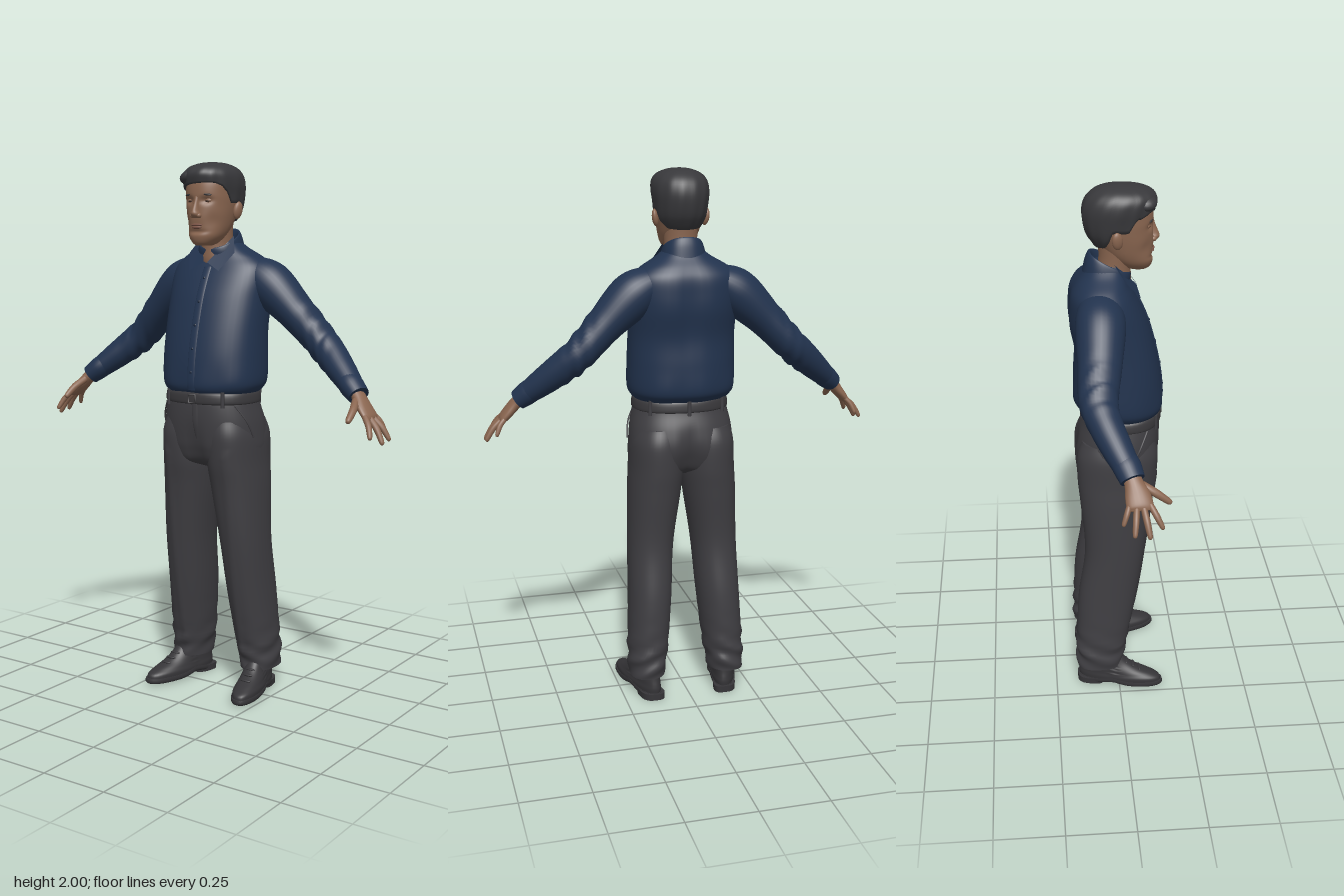
import * as THREE from 'three';

const mat = (name, color, side = THREE.FrontSide) => {
  const m = new THREE.MeshStandardMaterial({ color, side });
  m.name = name;
  return m;
};

// Catmull-Rom interpolation of rows of numbers
function smooth(rows, n) {
  const out = [], last = rows.length - 1;
  for (let i = 0; i < last; i++) {
    const [a, b, c, d] = [rows[Math.max(i - 1, 0)], rows[i], rows[i + 1], rows[Math.min(i + 2, last)]];
    for (let k = 0; k < n; k++) {
      const t = k / n;
      out.push(b.map((_, j) => 0.5 * (2 * b[j] + (c[j] - a[j]) * t + (2 * a[j] - 5 * b[j] + 4 * c[j] - d[j]) * t * t
        + (3 * b[j] - a[j] - 3 * c[j] + d[j]) * t * t * t)));
    }
  }
  out.push(rows[last]);
  return out;
}

// Linear lookup in rows sorted by their first column
function look(rows, key) {
  let i = 0;
  while (i < rows.length - 2 && rows[i + 1][0] < key) i++;
  const t = THREE.MathUtils.clamp((key - rows[i][0]) / (rows[i + 1][0] - rows[i][0]), 0, 1);
  return rows[i].map((v, j) => v + (rows[i + 1][j] - v) * t);
}

const spow = (v, e) => Math.sign(v) * Math.pow(Math.abs(v), e);

// Closed rings of points to a capped skin; side -1 mirrors it
function skinRings(name, rings, material, side = 1, mod = null) {
  const pos = [], idx = [], n = rings[0].length;
  const put = (p) => { pos.push(p.x * side, p.y, p.z); return pos.length / 3 - 1; };
  const tri = (a, b, c) => (side > 0 ? idx.push(a, b, c) : idx.push(a, c, b));
  if (mod) rings.forEach((r) => r.forEach(mod));
  rings.forEach((r) => r.forEach(put));
  for (let i = 0; i < rings.length - 1; i++) for (let j = 0; j < n; j++) {
    const a = i * n + j, b = i * n + (j + 1) % n;
    tri(a, a + n, b);
    tri(b, a + n, b + n);
  }
  for (const [r, top] of [[rings[0], false], [rings[rings.length - 1], true]]) {
    const c = put(r.reduce((s, p) => s.add(p), new THREE.Vector3()).divideScalar(n));
    const e = r.map(put);
    for (let j = 0; j < n; j++) top ? tri(c, e[(j + 1) % n], e[j]) : tri(c, e[j], e[(j + 1) % n]);
  }
  const g = new THREE.BufferGeometry();
  g.setAttribute('position', new THREE.Float32BufferAttribute(pos, 3));
  g.setIndex(idx);
  g.computeVertexNormals();
  const m = new THREE.Mesh(g, material);
  m.name = name;
  return m;
}

// Level rings: [y, centreX, halfWidth, zFront, zBack, tilt]
function loft(name, rows, material, { side = 1, p = 2.3, mod = null, seg = 48, sub = 6 } = {}) {
  const rings = smooth(rows, sub).map(([y, cx, rx, zf, zb, tilt = 0]) => Array.from({ length: seg }, (_, j) => {
    const a = j / seg * Math.PI * 2, s = spow(Math.sin(a), 2 / p);
    return new THREE.Vector3(cx + rx * spow(Math.cos(a), 2 / p), y + tilt * s, (zf + zb) / 2 + (zf - zb) / 2 * s);
  }));
  return skinRings(name, rings, material, side, mod);
}

// Swept limb: [x, y, z, radius across, radius toward z]
function limb(name, path, material, { side = 1, seg = 20, sub = 6, mod = null } = {}) {
  const rows = smooth(path, sub);
  const at = (i) => new THREE.Vector3(...rows[THREE.MathUtils.clamp(i, 0, rows.length - 1)].slice(0, 3));
  const rings = rows.map((r, i) => {
    const t = at(i + 1).sub(at(i - 1)).normalize();
    const v = new THREE.Vector3(0, 0, 1).addScaledVector(t, -t.z).normalize();
    const u = t.clone().cross(v);
    return Array.from({ length: seg }, (_, j) => {
      const a = j / seg * Math.PI * 2;
      return at(i).addScaledVector(u, r[3] * Math.cos(a)).addScaledVector(v, r[4] * Math.sin(a));
    });
  });
  return skinRings(name, rings, material, side, mod);
}

export function createModel() {
  const root = new THREE.Group();
  root.name = 'standingMan';
  const skin = mat('skin', 0x8a6650), lip = mat('lips', 0x7a5346), hair = mat('hair', 0x38383b, THREE.DoubleSide);
  const shirt = mat('shirt', 0x22334e, THREE.DoubleSide), button = mat('buttons', 0x1a273c);
  const cloth = mat('trousers', 0x3f3e42), belt = mat('belt', 0x39383b), shoe = mat('shoes', 0x363538);
  const eye = mat('eyes', 0x3a2a24);
  const add = (...m) => root.add(...m);
  const blob = (name, m, x, y, z, sx, sy, sz) => {
    const b = new THREE.Mesh(new THREE.SphereGeometry(1, 20, 14), m);
    b.name = name;
    b.position.set(x, y, z);
    b.scale.set(sx, sy, sz);
    add(b);
    return b;
  };

  // Shirt body, fuller over the shoulder blades
  const body = [[1.155, 0, 0.165, 0.15, -0.11], [1.175, 0, 0.187, 0.168, -0.14], [1.21, 0, 0.2, 0.173, -0.157],
    [1.3, 0, 0.2, 0.165, -0.157], [1.4, 0, 0.198, 0.145, -0.155], [1.5, 0, 0.2, 0.117, -0.173],
    [1.57, 0, 0.203, 0.088, -0.173], [1.62, 0, 0.195, 0.062, -0.166], [1.655, 0, 0.16, 0.044, -0.148],
    [1.69, 0, 0.1, 0.035, -0.12], [1.72, 0, 0.062, 0.03, -0.098]];
  add(loft('shirtBody', body, shirt, {
    mod: (v) => {
      if (v.z < -0.08) v.z += 0.014 * Math.exp(-((v.x / 0.04) ** 2)) * Math.exp(-(((v.y - 1.5) / 0.14) ** 2));
      v.z += 0.003 * Math.sin(v.x * 45) * Math.exp(-(((v.y - 1.2) / 0.06) ** 2));
    },
  }));

  // Button placket and buttons
  const front = body.slice(1, 8).map(([y, , , zf]) => [0.004, y, zf, 0.016, 0.004]);
  add(limb('placket', front, shirt));
  for (let y = 1.24; y < 1.62; y += 0.085) blob('button', button, 0.004, y, look(body, y)[3] + 0.003, 0.006, 0.006, 0.004);

  // Collar stand, higher at the back
  add(loft('collarStand', [[1.67, 0, 0.085, 0.05, -0.118, -0.02], [1.705, 0, 0.078, 0.054, -0.108, -0.03],
    [1.725, 0, 0.07, 0.05, -0.095, -0.036], [1.715, 0, 0.062, 0.03, -0.086, -0.036], [1.68, 0, 0.06, 0.03, -0.08, -0.03]], shirt));

  for (const s of [1, -1]) {
    // Collar flap
    const flap = new THREE.BufferGeometry();
    flap.setAttribute('position', new THREE.Float32BufferAttribute([0.07, 1.733, -0.01, 0.008, 1.637, 0.074,
      0.065, 1.607, 0.084, 0.1, 1.672, 0.03].map((v, i) => (i % 3 ? v : v * s)), 3));
    flap.setIndex(s > 0 ? [0, 1, 2, 0, 2, 3] : [0, 2, 1, 0, 3, 2]);
    flap.computeVertexNormals();
    const flapMesh = new THREE.Mesh(flap, shirt);
    flapMesh.name = 'collarFlap';
    add(flapMesh);

    // Sleeve with folds at the elbow, and cuff
    add(limb('sleeve', [[0.1, 1.615, -0.062, 0.05, 0.07], [0.19, 1.56, -0.066, 0.084, 0.088], [0.3, 1.458, -0.076, 0.068, 0.077],
      [0.39, 1.365, -0.087, 0.06, 0.068], [0.45, 1.312, -0.07, 0.058, 0.06], [0.52, 1.253, -0.035, 0.05, 0.053],
      [0.575, 1.207, -0.005, 0.041, 0.045]], shirt, {
      side: s, seg: 32, sub: 10,
      mod: (v) => { v.y += 0.006 * Math.sin(v.x * 130 + v.z * 30) * Math.exp(-(((v.x - 0.4) / 0.05) ** 2)); },
    }));
    add(limb('cuff', [[0.555, 1.224, -0.015, 0.042, 0.047], [0.575, 1.207, -0.004, 0.043, 0.048],
      [0.608, 1.18, 0.01, 0.037, 0.043]], shirt, { side: s, seg: 28 }));

    // Hand: palm and spread fingers
    add(limb('palm', [[0.59, 1.195, 0.004, 0.024, 0.03], [0.615, 1.17, 0.014, 0.022, 0.033], [0.64, 1.14, 0.024, 0.02, 0.043],
      [0.664, 1.112, 0.03, 0.016, 0.045], [0.674, 1.1, 0.031, 0.008, 0.036]], skin, { side: s }));
    const fingers = [['thumb', 0.612, 1.165, 0.04, 0.632, 1.1, 0.138, 0.0135], ['indexFinger', 0.658, 1.118, 0.062, 0.703, 1.043, 0.105, 0.0105],
      ['middleFinger', 0.665, 1.112, 0.041, 0.729, 1.022, 0.06, 0.011], ['ringFinger', 0.665, 1.112, 0.019, 0.73, 1.03, 0.008, 0.0105],
      ['littleFinger', 0.655, 1.12, -0.002, 0.695, 1.055, -0.028, 0.0095]];
    for (const [name, x, y, z, X, Y, Z, r] of fingers) {
      const rows = [[0, 1], [0.45, 1.05], [0.85, 0.85], [0.97, 0.6], [1, 0.15]].map(([t, k]) =>
        [x + (X - x) * t + 0.006 * Math.sin(t * Math.PI), y + (Y - y) * t + 0.004 * Math.sin(t * Math.PI), z + (Z - z) * t, r * k, r * k]);
      add(limb(name, rows, skin, { side: s, seg: 12, sub: 4 }));
    }

    // Trouser leg, rumpled near the hem
    add(loft('trouserLeg', [[0.09, 0.157, 0.068, 0.018, -0.166], [0.13, 0.155, 0.071, 0.02, -0.167], [0.2, 0.149, 0.076, 0.032, -0.165],
      [0.4, 0.135, 0.081, 0.07, -0.155], [0.6, 0.125, 0.086, 0.1, -0.127], [0.8, 0.108, 0.098, 0.125, -0.141],
      [0.9, 0.1, 0.1, 0.142, -0.15], [1.0, 0.1, 0.096, 0.15, -0.15], [1.06, 0.095, 0.085, 0.14, -0.13]], cloth, {
      side: s, p: 2.2,
      mod: (v) => {
        const k = Math.exp(-(((v.y - 0.17) / 0.1) ** 2));
        v.z += 0.005 * k * Math.sin(v.y * 90 + v.x * 40);
        v.x += 0.004 * k * Math.sin(v.y * 75 + v.z * 30);
        if (v.z > 0.02 && v.y < 0.95) v.z += 0.005 * Math.exp(-(((v.x - 0.13) / 0.012) ** 2));
      },
    }));
    add(limb('pocketSeam', [[0.196, 1.0, 0.045, 0.003, 0.004], [0.186, 1.06, 0.075, 0.003, 0.004],
      [0.152, 1.12, 0.105, 0.003, 0.004]], cloth, { side: s, seg: 8 }));

    // Shoe: upper, sole and heel, turned slightly outward
    const splay = (v) => { v.x += 0.2 * v.z - (v.z < -0.02 ? 0.08 * (v.x - 0.17) : 0); };
    add(loft('shoeUpper', [[0.022, 0.17, 0.053, 0.164, -0.156], [0.04, 0.17, 0.054, 0.158, -0.158], [0.056, 0.17, 0.05, 0.125, -0.156],
      [0.075, 0.17, 0.047, 0.075, -0.152], [0.1, 0.168, 0.043, 0.035, -0.148], [0.14, 0.166, 0.04, 0.0, -0.14]], shoe, { side: s, mod: splay }));
    add(loft('shoeSole', [[0.006, 0.17, 0.052, 0.166, -0.155], [0.014, 0.17, 0.057, 0.172, -0.16], [0.026, 0.17, 0.056, 0.17, -0.16]],
      shoe, { side: s, sub: 2, mod: (v) => { splay(v); v.y += 0.012 * Math.exp(-(((v.z + 0.03) / 0.05) ** 2)); } }));
    add(loft('shoeHeel', [[0, 0.17, 0.047, -0.06, -0.163], [0.025, 0.17, 0.048, -0.055, -0.163]], shoe, { side: s, p: 3, sub: 2, mod: splay }));
    for (const z of [0.03, 0.055, 0.08]) blob('shoeLace', shoe, s * (0.17 + 0.2 * z), 0.1 - (z - 0.03) * 0.55, z, 0.022, 0.005, 0.007);
  }

  // Trouser seat and fly
  const seat = [[0.87, 0, 0.12, 0.06, -0.08], [0.9, 0, 0.185, 0.125, -0.125], [0.95, 0, 0.198, 0.149, -0.148],
    [1.0, 0, 0.197, 0.158, -0.155], [1.06, 0, 0.191, 0.162, -0.143], [1.12, 0, 0.178, 0.16, -0.122], [1.165, 0, 0.168, 0.152, -0.112]];
  add(loft('trouserSeat', seat, cloth, {
    mod: (v) => {
      const k = Math.exp(-((v.x / 0.028) ** 2)) * THREE.MathUtils.smoothstep(1.1 - v.y, 0, 0.18);
      v.z += v.z < -0.05 ? 0.035 * k : v.z > 0.05 ? -0.02 * k : 0;
    },
  }));
  add(limb('flySeam', [[0.012, 0.97, 0.136, 0.005, 0.004], [0.014, 1.05, 0.158, 0.012, 0.004], [0.012, 1.13, 0.16, 0.014, 0.004]], cloth, { seg: 12 }));

  // Belt, buckle and loops
  add(loft('belt', [[1.122, 0, 0.176, 0.161, -0.122], [1.128, 0, 0.182, 0.167, -0.127], [1.155, 0, 0.179, 0.166, -0.124],
    [1.165, 0, 0.172, 0.16, -0.118]], belt, { sub: 3 }));
  const buckle = new THREE.Mesh(new THREE.TorusGeometry(0.021, 0.004, 8, 4), belt);
  buckle.name = 'beltBuckle';
  buckle.rotation.z = Math.PI / 4;
  buckle.position.set(0.004, 1.142, 0.168);
  add(buckle);
  for (const a of [0.9, 2.24, 3.9, 4.71, 5.52]) {
    const x = 0.182 * spow(Math.cos(a), 0.87), z = 0.02 + 0.147 * spow(Math.sin(a), 0.87);
    add(limb('beltLoop', [[x, 1.112, z, 0.007, 0.006], [x, 1.17, z, 0.007, 0.006]], cloth, { seg: 10 }));
  }

  // Neck and head with sunken eye sockets and cheeks
  add(loft('neck', [[1.6, 0, 0.058, 0.045, -0.08], [1.645, 0, 0.06, 0.056, -0.07], [1.7, 0, 0.059, 0.054, -0.064],
    [1.75, 0, 0.061, 0.06, -0.06], [1.81, 0, 0.066, 0.07, -0.064]], skin, { p: 2 }));
  add(loft('head', [[1.698, 0, 0.026, 0.112, 0.05], [1.708, 0, 0.042, 0.124, 0.02], [1.73, 0, 0.06, 0.131, -0.01], [1.76, 0, 0.072, 0.13, -0.04],
    [1.8, 0, 0.081, 0.133, -0.066], [1.84, 0, 0.087, 0.131, -0.088], [1.88, 0, 0.09, 0.133, -0.1], [1.93, 0, 0.089, 0.126, -0.104],
    [1.97, 0, 0.07, 0.1, -0.085], [1.985, 0, 0.03, 0.05, -0.05]], skin, {
    p: 2.2, seg: 72, sub: 8,
    mod: (v) => {
      if (v.z < 0.03) return;
      const dent = (x, y, w, h, d) => { v.z -= d * Math.exp(-(((Math.abs(v.x) - x) / w) ** 2) - ((v.y - y) / h) ** 2); };
      dent(0.036, 1.859, 0.02, 0.013, 0.013);
      dent(0.058, 1.785, 0.02, 0.03, 0.008);
      dent(0, 1.747, 0.035, 0.008, 0.006);
    },
  }));
  add(loft('nose', [[1.796, 0, 0.008, 0.136, 0.11], [1.802, 0, 0.017, 0.148, 0.11], [1.812, 0, 0.017, 0.155, 0.11],
    [1.825, 0, 0.012, 0.152, 0.11], [1.85, 0, 0.009, 0.141, 0.11], [1.878, 0, 0.011, 0.132, 0.11]], skin, { p: 2, seg: 24 }));
  blob('upperLip', lip, 0, 1.772, 0.128, 0.025, 0.005, 0.009);
  blob('lowerLip', lip, 0, 1.763, 0.127, 0.021, 0.006, 0.009);
  for (const s of [1, -1]) {
    blob('nostril', skin, s * 0.014, 1.805, 0.132, 0.009, 0.009, 0.012);
    blob('eyelid', skin, s * 0.036, 1.859, 0.106, 0.016, 0.01, 0.011);
    blob('eye', eye, s * 0.036, 1.857, 0.11, 0.011, 0.004, 0.0085);
    blob('eyebrow', hair, s * 0.038, 1.88, 0.12, 0.02, 0.004, 0.006).rotation.set(0, s * 0.25, s * -0.08);
    blob('ear', skin, s * 0.094, 1.825, 0.0, 0.012, 0.032, 0.02).rotation.set(-0.15, s * -0.3, s * -0.15);
  }

  // Hair cap: hairline height by direction, volume by height
  const hairline = [[-1, 1.785], [-0.6, 1.79], [-0.35, 1.815], [-0.15, 1.855], [0.1, 1.85], [0.25, 1.85], [0.45, 1.895], [0.75, 1.915], [1, 1.92]];
  const volume = smooth([[1.775, 0.066, 0.1, -0.07], [1.8, 0.08, 0.11, -0.085], [1.83, 0.092, 0.12, -0.105], [1.88, 0.099, 0.128, -0.117],
    [1.92, 0.103, 0.139, -0.117], [1.955, 0.098, 0.144, -0.104], [1.98, 0.078, 0.122, -0.077], [1.995, 0.042, 0.075, -0.04], [2, 0.004, 0.02, 0.012]], 8);
  const caps = Array.from({ length: 26 }, (_, k) => Array.from({ length: 72 }, (_, j) => {
    const a = j / 72 * Math.PI * 2, s = Math.sin(a), t = Math.max(k - 1, 0) / 24;
    const low = look(hairline, s)[1] + (s > 0.5 ? 0.008 * Math.cos(a) : 0);
    const y = low + (2 - low) * (1 - (1 - t) ** 2);
    const [, rx, zf, zb] = look(volume, y), w = (k ? 1 : 0.86) * (1 + 0.012 * Math.sin(a * 14 + t * 5) * (1 - t));
    return new THREE.Vector3(rx * w * spow(Math.cos(a), 0.92), y, (zf + zb) / 2 + (zf - zb) / 2 * w * spow(s, 0.92));
  }));
  add(skinRings('hair', caps, hair));
  blob('fringe', hair, -0.045, 1.945, 0.1, 0.042, 0.026, 0.04).rotation.z = 0.3;
  return root;
}
